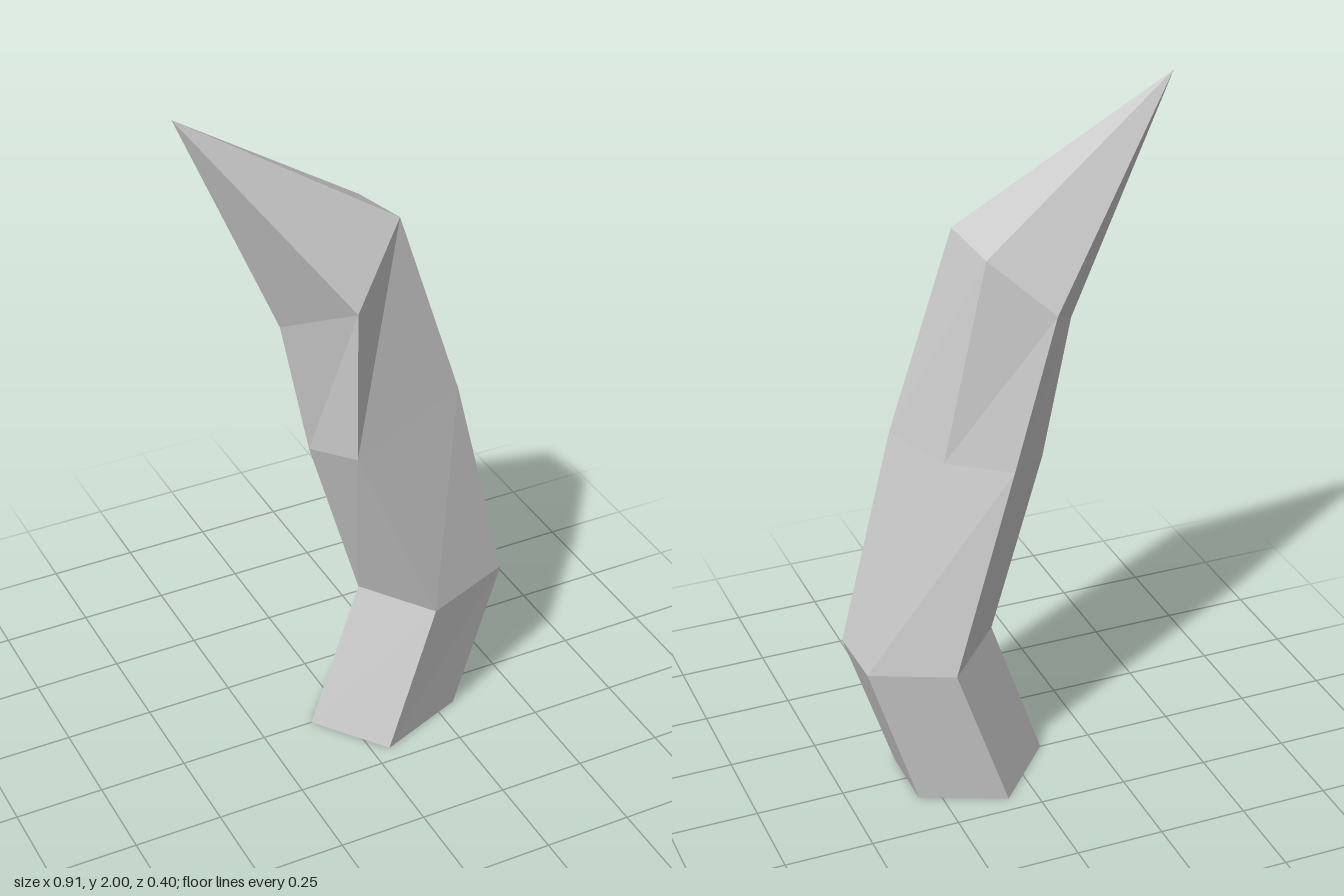
import * as THREE from 'three';

// Five-sided sections from base to shoulder.
// Corner order: front, right front, right back, back, left.
const RINGS = [
  [[0.05, 0, 0.2], [0.31, 0, 0.1], [0.31, 0, -0.1], [0.08, 0, -0.2], [-0.1, 0, 0]],
  [[0.19, 0.44, 0.2], [0.455, 0.44, 0.095], [0.45, 0.44, -0.1], [0.23, 0.44, -0.2], [0.05, 0.44, 0]],
  [[-0.055, 1.02, 0.2], [0.31, 1.07, 0.075], [0.22, 1.04, -0.095], [0.06, 1.03, -0.195], [-0.1, 0.95, 0]],
  [[-0.055, 1.46, 0.2], [0.13, 1.63, 0.068], [0.11, 1.61, -0.125], [-0.055, 1.46, -0.2], [-0.18, 1.35, 0]],
];
const TIP = [-0.455, 2, -0.005];

function facetedMesh(name, triangles) {
  const geometry = new THREE.BufferGeometry();
  geometry.setAttribute('position', new THREE.Float32BufferAttribute(triangles.flat(2), 3));
  geometry.computeVertexNormals();
  const mesh = new THREE.Mesh(geometry, new THREE.MeshStandardMaterial({ color: 0xcccccc, flatShading: true }));
  mesh.name = name;
  return mesh;
}

// Side walls between two sections
function band(lower, upper) {
  return lower.flatMap((a, i) => {
    const j = (i + 1) % lower.length;
    return [[a, lower[j], upper[j]], [a, upper[j], upper[i]]];
  });
}

export function createModel() {
  const group = new THREE.Group();
  group.name = 'bentSpike';
  const base = RINGS[0];
  const shoulder = RINGS[RINGS.length - 1];

  // Slanted foot with its flat underside
  const underside = [1, 2, 3].map((i) => [base[0], base[i + 1], base[i]]);
  group.add(facetedMesh('foot', [...band(base, RINGS[1]), ...underside]));

  // Curved shaft
  group.add(facetedMesh('shaft', [...band(RINGS[1], RINGS[2]), ...band(RINGS[2], RINGS[3])]));

  // Pointed tip
  group.add(facetedMesh('tip', shoulder.map((a, i) => [a, shoulder[(i + 1) % shoulder.length], TIP])));

  return group;
}
